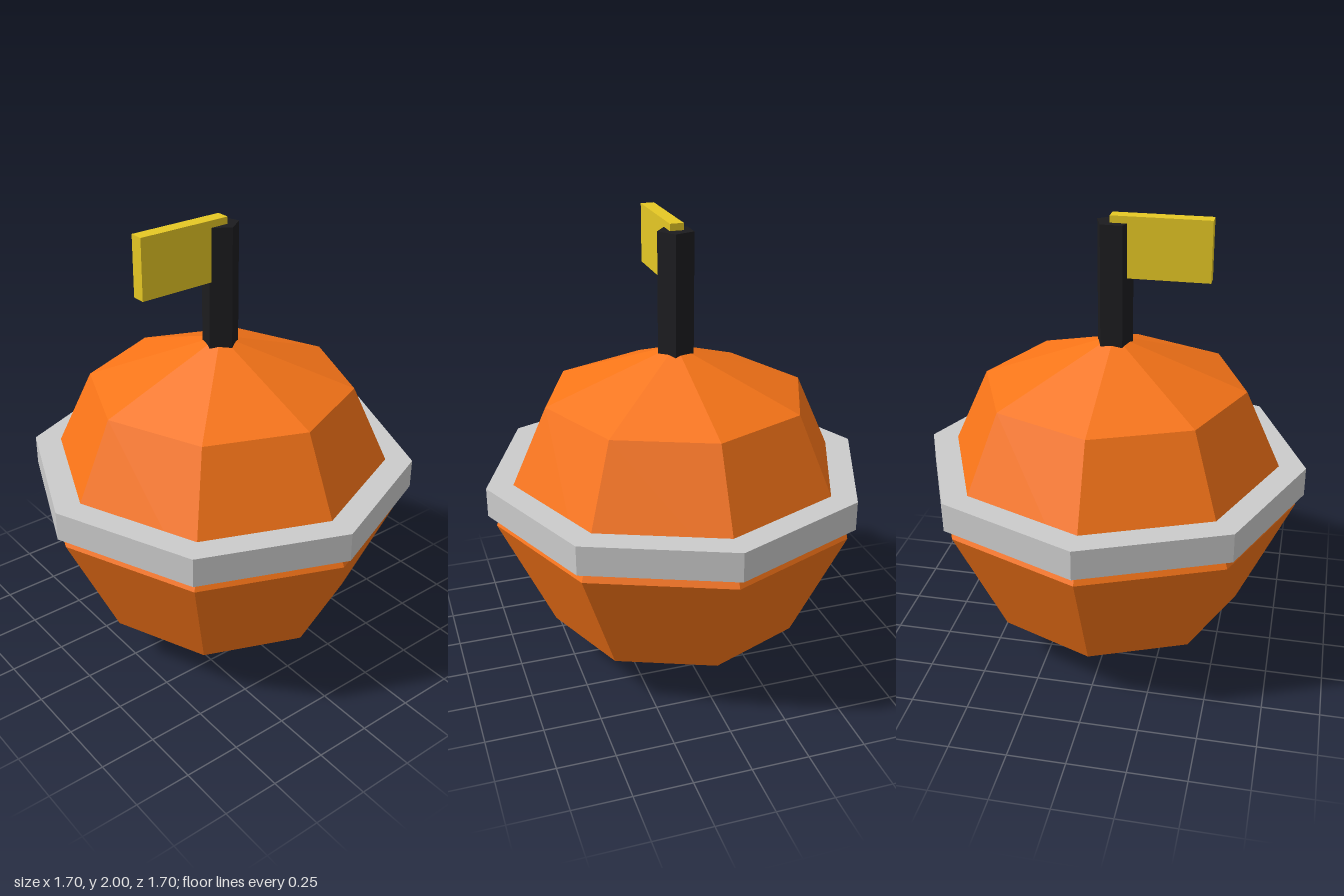
import * as THREE from 'three';

function part(name, geometry, color, x, y, z) {
  const material = new THREE.MeshStandardMaterial({ color, flatShading: true });
  const mesh = new THREE.Mesh(geometry, material);
  mesh.name = name;
  mesh.position.set(x, y, z);
  return mesh;
}

export function createModel() {
  const model = new THREE.Group();
  model.name = 'buoy';

  // Faceted float, slightly wider than tall
  const float = new THREE.SphereGeometry(1, 8, 4);
  float.scale(0.816, 0.738, 0.816);
  model.add(part('float', float, 0xf97518, 0, 0.738, 0));

  // Octagonal band just above the widest point
  const band = new THREE.CylinderGeometry(0.85, 0.85, 0.13, 8);
  model.add(part('band', band, 0xcccccc, 0, 0.855, 0));

  // Five-sided pole with one edge towards +x, sunk into the float
  const pole = new THREE.CylinderGeometry(0.08, 0.08, 0.55, 5);
  pole.rotateY(Math.PI / 2);
  // keep the edge on +x whichever way the first vertex points
  if (pole.attributes.position.getX(0) < 0) pole.rotateY(Math.PI);
  model.add(part('pole', pole, 0x1c1c1f, 0, 1.695, 0));

  // Flag reaching forward from the pole
  const flag = new THREE.BoxGeometry(0.06, 0.26, 0.42);
  model.add(part('flag', flag, 0xe6c824, 0, 1.87, 0.197));

  return model;
}
